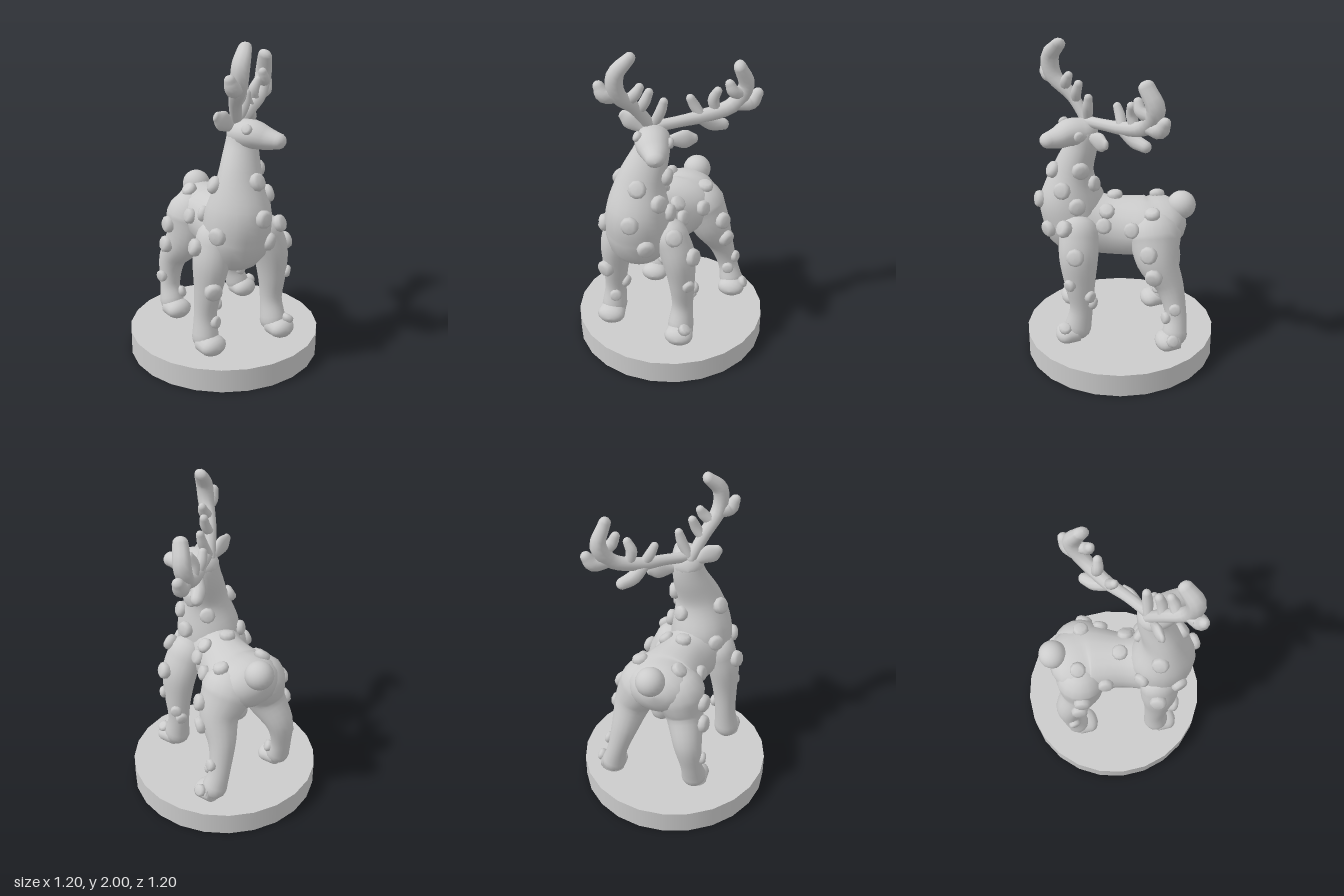
import * as THREE from 'three';

const X = new THREE.Vector3(1, 0, 0), Y = new THREE.Vector3(0, 1, 0), Z = new THREE.Vector3(0, 0, 1);
const V = (a) => new THREE.Vector3(a[0], a[1], a[2]);

// Smooth limb with rounded ends. Sections are [x, y, z, radiusA, radiusB?]; radiusA runs along ref.
function loft(sections, ref, sides = 18, steps = 5) {
  const path = new THREE.CatmullRomCurve3(sections.map(V), false, 'catmullrom');
  const size = new THREE.CatmullRomCurve3(
    sections.map((s) => new THREE.Vector3(s[3], s[4] ?? s[3], 0)), false, 'catmullrom');
  const rings = [];
  const add = (u, capAngle, dir) => {
    const t = path.getTangent(u), r = size.getPoint(u), c = path.getPoint(u);
    c.addScaledVector(t, dir * Math.sin(capAngle) * Math.min(r.x, r.y));
    const k = Math.max(Math.cos(capAngle), 0.001);
    rings.push({ c, t, a: r.x * k, b: r.y * k });
  };
  const n = (sections.length - 1) * steps, q = Math.PI / 2;
  for (let i = 4; i > 0; i--) add(0, (q * i) / 4, -1);
  for (let i = 0; i <= n; i++) add(i / n, 0, 0);
  for (let i = 1; i <= 4; i++) add(1, (q * i) / 4, 1);

  const pos = [], index = [];
  rings.forEach(({ c, t, a, b }, i) => {
    const A = ref.clone().addScaledVector(t, -ref.dot(t)).normalize();
    const B = t.clone().cross(A);
    for (let j = 0; j < sides; j++) {
      const w = (j / sides) * Math.PI * 2;
      const p = c.clone().addScaledVector(A, a * Math.cos(w)).addScaledVector(B, b * Math.sin(w));
      pos.push(p.x, p.y, p.z);
      if (i < rings.length - 1) {
        const k = (j + 1) % sides, r0 = i * sides, r1 = r0 + sides;
        index.push(r0 + j, r0 + k, r1 + j, r0 + k, r1 + k, r1 + j);
      }
    }
  });
  const g = new THREE.BufferGeometry();
  g.setAttribute('position', new THREE.Float32BufferAttribute(pos, 3));
  g.setIndex(index);
  g.computeVertexNormals();
  g.userData.path = path;
  g.userData.size = size;
  return g;
}

export function createModel() {
  const model = new THREE.Group();
  const mat = new THREE.MeshStandardMaterial({ color: 0xcccccc });
  const mesh = (name, geo, parent = model) => {
    const m = new THREE.Mesh(geo, mat);
    m.name = name;
    parent.add(m);
    return m;
  };

  // Round stand
  mesh('base', new THREE.CylinderGeometry(0.6, 0.6, 0.145, 24)).position.y = 0.0725;

  // Feet run from heel to toe
  const foot = (x, z) => [[x, 0.213, z - 0.035, 0.078, 0.066], [x, 0.206, z + 0.045, 0.088, 0.06]];

  // Torso, chest with neck, head, legs and feet
  const limbs = {
    torso: [[-0.13, 0.86, 0.24, 0.19, 0.2], [-0.045, 0.84, 0.05, 0.17, 0.19],
      [0.04, 0.85, -0.15, 0.215, 0.178], [0.055, 0.87, -0.25, 0.205, 0.155]],
    neck: [[-0.14, 0.85, 0.25, 0.2], [-0.14, 1.02, 0.27, 0.19, 0.2], [-0.12, 1.2, 0.26, 0.145, 0.125],
      [-0.07, 1.36, 0.22, 0.11, 0.095], [-0.05, 1.45, 0.21, 0.095, 0.085]],
    head: [[-0.055, 1.455, 0.21, 0.097, 0.085], [-0.045, 1.462, 0.29, 0.097, 0.082],
      [-0.015, 1.446, 0.37, 0.077, 0.064], [0.005, 1.441, 0.435, 0.055, 0.047]],
    frontLeftLeg: [[0.06, 0.86, 0.275, 0.1, 0.12], [0.11, 0.72, 0.29, 0.1, 0.12], [0.13, 0.55, 0.29, 0.08, 0.095],
      [0.135, 0.38, 0.285, 0.066, 0.072], [0.13, 0.24, 0.31, 0.08, 0.085]],
    frontRightLeg: [[-0.265, 0.86, 0.2, 0.1, 0.12], [-0.295, 0.72, 0.2, 0.1, 0.12], [-0.31, 0.55, 0.19, 0.08, 0.09],
      [-0.32, 0.38, 0.175, 0.068, 0.07], [-0.33, 0.24, 0.185, 0.08, 0.082]],
    hindLeftLeg: [[0.165, 0.835, -0.175, 0.15, 0.165], [0.235, 0.69, -0.175, 0.12, 0.13], [0.285, 0.53, -0.24, 0.085, 0.085],
      [0.335, 0.36, -0.265, 0.064, 0.066], [0.365, 0.24, -0.25, 0.076, 0.078]],
    hindRightLeg: [[-0.055, 0.835, -0.245, 0.16, 0.155], [-0.09, 0.69, -0.26, 0.12, 0.135], [-0.12, 0.53, -0.355, 0.09, 0.09],
      [-0.145, 0.36, -0.36, 0.068, 0.062], [-0.16, 0.24, -0.325, 0.078, 0.075]],
    frontLeftFoot: foot(0.13, 0.345),
    frontRightFoot: foot(-0.335, 0.215),
    hindLeftFoot: foot(0.375, -0.23),
    hindRightFoot: foot(-0.165, -0.295),
  };
  const skin = Object.entries(limbs).map(([name, s]) => mesh(name, loft(s, X)));

  // Round tail
  mesh('tail', new THREE.SphereGeometry(0.088, 20, 14)).position.set(0.1, 0.985, -0.365);

  // Leaf-shaped ears
  const ear = (name, from, to) => mesh(name,
    loft([[...from, 0.028, 0.02], [...V(from).lerp(V(to), 0.6).toArray(), 0.058, 0.028], [...to, 0.03, 0.016]], Y, 12));
  ear('rightEar', [-0.12, 1.5, 0.19], [-0.24, 1.58, 0.19]);
  ear('leftEar', [0.03, 1.44, 0.18], [0.17, 1.44, 0.13]);

  // Antlers: a curved beam with blunt, thick tines
  const antler = (name, branches) => {
    const g = new THREE.Group();
    g.name = name;
    model.add(g);
    branches.forEach((b, i) => mesh(i ? 'tine' + i : 'beam', loft(b, Z, 10, 4), g));
  };
  antler('rightAntler', [
    [[-0.07, 1.51, 0.18, 0.034], [-0.15, 1.65, 0.25, 0.038], [-0.22, 1.76, 0.345, 0.05, 0.046],
      [-0.225, 1.88, 0.365, 0.054, 0.048], [-0.155, 1.965, 0.325, 0.042, 0.034]],
    [[-0.21, 1.75, 0.33, 0.036], [-0.285, 1.765, 0.37, 0.046], [-0.315, 1.815, 0.375, 0.032]],
    [[-0.14, 1.62, 0.23, 0.026], [-0.1, 1.68, 0.24, 0.032], [-0.075, 1.74, 0.23, 0.026]],
    [[-0.19, 1.7, 0.29, 0.03], [-0.14, 1.745, 0.29, 0.034], [-0.115, 1.785, 0.28, 0.026]],
    [[-0.06, 1.53, 0.18, 0.028], [-0.02, 1.61, 0.19, 0.032], [0.0, 1.675, 0.19, 0.025]],
  ]);
  antler('leftAntler', [
    [[-0.04, 1.52, 0.18, 0.034], [0.08, 1.53, 0.11, 0.034], [0.2, 1.54, 0.03, 0.04], [0.35, 1.585, -0.045, 0.045],
      [0.425, 1.7, -0.085, 0.055, 0.048], [0.39, 1.825, -0.04, 0.048, 0.036]],
    [[0.38, 1.59, -0.06, 0.036], [0.455, 1.595, -0.1, 0.046], [0.49, 1.645, -0.115, 0.034]],
    [[0.19, 1.54, 0.04, 0.028], [0.15, 1.6, 0.04, 0.031], [0.125, 1.65, 0.05, 0.025]],
    [[0.27, 1.56, -0.01, 0.028], [0.25, 1.63, 0.0, 0.034], [0.275, 1.69, 0.01, 0.026]],
    [[0.42, 1.65, -0.08, 0.03], [0.365, 1.68, -0.02, 0.036], [0.34, 1.73, -0.01, 0.028]],
    [[0.18, 1.53, 0.04, 0.032], [0.24, 1.475, -0.02, 0.042], [0.3, 1.455, -0.065, 0.036]],
  ]);

  // Raised spots and eyes, pressed onto the nearest limb along its outward direction
  const button = new THREE.LatheGeometry(
    [[0, -0.6], [0.9, -0.5], [1, 0.15], [0.9, 0.5], [0.6, 0.7], [0, 0.72]].map(([x, y]) => new THREE.Vector2(x, y)), 10);
  const ray = new THREE.Raycaster();
  const stud = (name, p, radius) => {
    let best = { d: Infinity };
    skin.forEach((m) => {
      const { path, size } = m.geometry.userData;
      for (let i = 0; i <= 40; i++) {
        const c = path.getPoint(i / 40), s = size.getPoint(i / 40);
        const d = c.distanceTo(p) - (s.x + s.y) / 2;
        if (d < best.d) best = { d, c, m };
      }
    });
    const n = p.clone().sub(best.c).normalize();
    ray.set(best.c.clone().addScaledVector(n, 0.5), n.clone().negate());
    const hit = ray.intersectObject(best.m)[0];
    const b = mesh(name, button);
    b.position.copy(hit ? hit.point : p);
    b.quaternion.setFromUnitVectors(Y, n);
    b.scale.setScalar(radius);
  };
  const spots = [
    // chest and neck
    [[-0.11, 1.22, 0.4], [-0.14, 1.02, 0.47], [-0.05, 0.85, 0.45], [0.02, 1.12, 0.37], [0.03, 1.24, 0.25],
      [0.05, 1.02, 0.28], [0.1, 0.91, 0.38], [-0.33, 0.92, 0.3], [-0.25, 1.18, 0.2]],
    // back and flanks
    [[0.13, 0.91, 0.14], [0.09, 1.01, 0.11], [0.0, 1.14, 0.14], [-0.05, 1.03, 0.02], [0.18, 0.89, -0.03],
      [0.19, 0.97, -0.15], [-0.08, 1.03, -0.26], [-0.21, 0.9, -0.13], [-0.25, 0.98, 0.08]],
    // upper legs
    [[0.2, 0.76, 0.33], [0.33, 0.78, -0.08], [0.35, 0.63, -0.11], [-0.4, 0.83, 0.14], [-0.24, 0.8, -0.3],
      [-0.35, 0.57, 0.28], [-0.23, 0.66, -0.32]],
    // lower legs and feet
    [[0.18, 0.57, 0.36], [0.2, 0.48, 0.24], [0.18, 0.42, 0.21], [0.19, 0.29, 0.4], [0.39, 0.42, -0.24],
      [0.35, 0.35, -0.18], [0.45, 0.24, -0.21], [-0.3, 0.35, 0.26], [-0.23, 0.43, 0.2], [-0.09, 0.31, -0.27],
      [-0.22, 0.42, -0.36]],
  ];
  const sizes = [0.054, 0.05, 0.055, 0.039];
  spots.forEach((list, i) => list.forEach((p) => stud('spot', V(p), sizes[i])));
  stud('rightEye', new THREE.Vector3(-0.11, 1.5, 0.31), 0.032);
  stud('leftEye', new THREE.Vector3(0.05, 1.46, 0.26), 0.032);

  return model;
}
